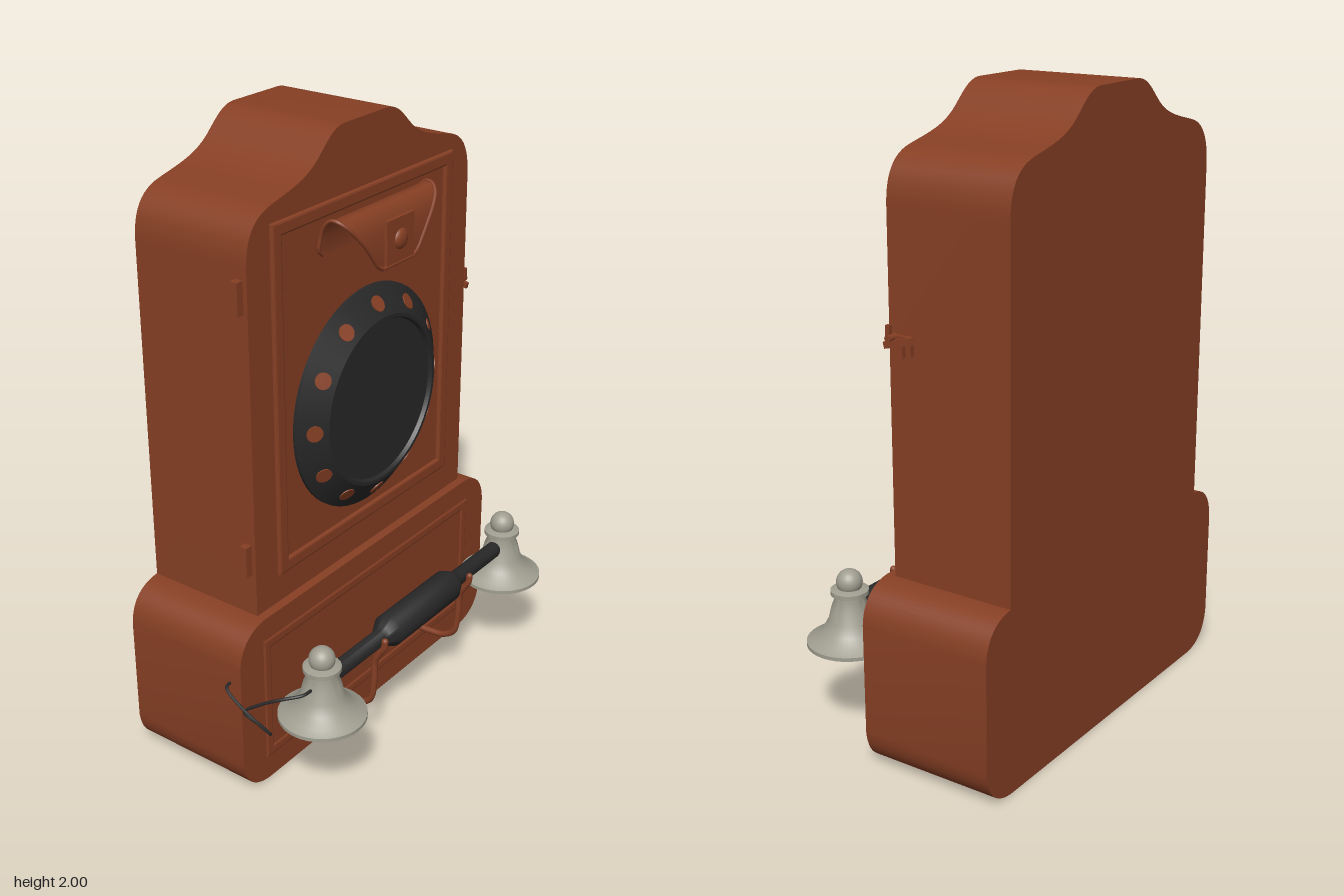
import * as THREE from 'three';
import { toCreasedNormals } from 'three/addons/utils/BufferGeometryUtils.js';

const CX = 0.015; // the cabinet's own centre line

export function createModel() {
  const root = new THREE.Group();
  root.name = 'wallTelephone';

  const material = (name, color, side = THREE.FrontSide) => {
    const m = new THREE.MeshStandardMaterial({ color, side });
    m.name = name;
    return m;
  };
  const wood = material('reddish brown', 0x863f24, THREE.DoubleSide);
  const black = material('black', 0x282828);
  const metal = material('warm grey', 0xa09e90, THREE.DoubleSide);

  const add = (name, geometry, mat, x = 0, y = 0, z = 0, parent = root) => {
    const mesh = new THREE.Mesh(geometry, mat);
    mesh.name = name;
    mesh.position.set(x, y, z);
    parent.add(mesh);
    return mesh;
  };
  const v = (x, y, z) => new THREE.Vector3(x, y, z);
  const lathe = (pts, segments = 40) => toCreasedNormals(
    new THREE.LatheGeometry(pts.map(([r, y]) => new THREE.Vector2(r, y)), segments), 0.6);
  const tube = (pts, r, segments = 40) =>
    new THREE.TubeGeometry(new THREE.CatmullRomCurve3(pts), segments, r, 8);
  const extrude = (shape, depth) => toCreasedNormals(
    new THREE.ExtrudeGeometry(shape, { depth, bevelEnabled: false, curveSegments: 12 }), 0.6);

  // Lower box with rounded corners
  const base = new THREE.Shape();
  const bw = 0.665, bh = 0.59, r = 0.12;
  base.moveTo(-bw + r, 0).lineTo(bw - r, 0);
  base.quadraticCurveTo(bw - 0.01, 0.01, bw, r).lineTo(bw, bh - r);
  base.quadraticCurveTo(bw - 0.01, bh - 0.01, bw - r, bh).lineTo(-bw + r, bh);
  base.quadraticCurveTo(-bw + 0.01, bh - 0.01, -bw, bh - r).lineTo(-bw, r);
  base.quadraticCurveTo(-bw + 0.01, 0.01, -bw + r, 0);
  add('baseBox', extrude(base, 0.44), wood, CX, 0, -0.38);

  // Upper cabinet with a scrolled crest
  const cab = new THREE.Shape();
  cab.moveTo(-0.545, 0.5).lineTo(0.545, 0.5).lineTo(0.545, 1.69);
  cab.bezierCurveTo(0.545, 1.78, 0.51, 1.83, 0.435, 1.847);
  cab.bezierCurveTo(0.36, 1.865, 0.29, 1.875, 0.235, 1.918);
  cab.bezierCurveTo(0.19, 1.955, 0.16, 2.0, 0.10, 2.0);
  cab.lineTo(-0.10, 2.0);
  cab.bezierCurveTo(-0.16, 2.0, -0.19, 1.955, -0.235, 1.918);
  cab.bezierCurveTo(-0.29, 1.875, -0.36, 1.865, -0.435, 1.847);
  cab.bezierCurveTo(-0.51, 1.83, -0.545, 1.78, -0.545, 1.69);
  add('cabinet', extrude(cab, 0.41), wood, CX, 0, -0.38);

  // Raised rectangular mouldings
  const moulding = (name, w, h, t, y, z, depth) => {
    const b = 0.007;
    const rect = (Path, hw, hh) => new Path([[-hw, -hh], [hw, -hh], [hw, hh], [-hw, hh]]
      .map(([px, py]) => new THREE.Vector2(px, py)));
    const s = rect(THREE.Shape, w / 2 - b, h / 2 - b);
    s.holes.push(rect(THREE.Path, w / 2 - t + b, h / 2 - t + b));
    add(name, new THREE.ExtrudeGeometry(s, {
      depth, bevelSize: b, bevelThickness: b, bevelSegments: 2,
    }), wood, CX, y, z);
  };
  moulding('doorMoulding', 0.89, 1.11, 0.043, 1.24, 0.025, 0.01);
  moulding('baseMoulding', 1.115, 0.435, 0.035, 0.298, 0.053, 0.004);

  // Round dial with a sloping rim and a ring of finger holes
  const dial = new THREE.Group();
  dial.name = 'dial';
  dial.position.set(CX, 1.12, 0);
  root.add(dial);
  add('dialDisc', lathe([[0.36, 0.025], [0.36, 0.04], [0.275, 0.1], [0.264, 0.1],
    [0.258, 0.088], [0, 0.088]], 64).rotateX(Math.PI / 2), black, 0, 0, 0, dial);
  for (let i = 0; i < 12; i++) {
    const a = i * Math.PI / 6;
    const size = i === 1 ? 0.018 : 0.026;
    const hole = add('fingerHole', new THREE.CylinderGeometry(size, size, 0.006, 20), wood,
      0.312 * Math.cos(a), 0.312 * Math.sin(a), 0.074, dial);
    hole.quaternion.setFromUnitVectors(v(0, 1, 0),
      v(0.06 * Math.cos(a), 0.06 * Math.sin(a), 0.085).normalize());
  }

  // Curled sheet above the dial: rows of y, z and half width along the bend
  const rows = [[1.64, 0.035, 0.215], [1.66, 0.036, 0.235], [1.70, 0.042, 0.235],
    [1.735, 0.055, 0.235], [1.757, 0.08, 0.235], [1.755, 0.105, 0.232], [1.735, 0.128, 0.215],
    [1.70, 0.14, 0.185], [1.66, 0.145, 0.15], [1.62, 0.146, 0.12], [1.595, 0.146, 0.1],
    [1.58, 0.146, 0.075]];
  const sheet = new THREE.PlaneGeometry(1, 1, 10, rows.length - 1);
  const pos = sheet.attributes.position;
  for (let i = 0; i < pos.count; i++) {
    const [y, z, half] = rows[Math.floor(i / 11)];
    pos.setXYZ(i, pos.getX(i) * 2 * half, y, z);
  }
  sheet.computeVertexNormals();
  add('curledSheet', sheet, wood, CX);
  // Rolled rim down both edges of the sheet
  for (const s of [-1, 1]) {
    add('sheetRim', tube(rows.map(([y, z, half]) => v(CX + s * half, y, z)), 0.006), wood);
  }
  add('sheetLowerRim', new THREE.CylinderGeometry(0.006, 0.006, 0.15, 8).rotateZ(Math.PI / 2),
    wood, CX, 1.58, 0.146);
  add('knobPlate', new THREE.BoxGeometry(0.135, 0.135, 0.012), wood, CX, 1.655, 0.149);
  add('knob', new THREE.SphereGeometry(0.032, 20, 12).scale(1, 1, 0.5), wood, CX, 1.655, 0.153);

  // Door hinges
  for (const y of [0.78, 1.61]) {
    add('hinge', new THREE.BoxGeometry(0.03, 0.1, 0.026), wood, -0.54, y, 0.003);
  }

  // Door latch with a small turn key
  add('latchPlate', new THREE.BoxGeometry(0.016, 0.035, 0.07), wood, 0.566, 1.315, -0.02);
  add('latchPin', new THREE.CylinderGeometry(0.011, 0.011, 0.04, 12).rotateZ(Math.PI / 2),
    wood, 0.575, 1.325, 0.01);
  const key = add('latchKey', new THREE.BoxGeometry(0.012, 0.02, 0.1), wood, 0.584, 1.315, -0.02);
  key.rotation.x = 0.25;
  for (const [y, z] of [[1.345, 0.015], [1.29, -0.03], [1.30, -0.06]]) {
    add('latchTooth', new THREE.BoxGeometry(0.014, 0.035, 0.014), wood, 0.582, y, z);
  }

  // Cradle hooks under the handset
  for (const x of [-0.225, 0.255]) {
    add('cradleHook', tube([v(x, 0.16, 0.03), v(x, 0.16, 0.13), v(x, 0.168, 0.19),
      v(x, 0.2, 0.23), v(x, 0.27, 0.243), v(x, 0.35, 0.247), v(x, 0.385, 0.265),
      v(x, 0.41, 0.281), v(x, 0.435, 0.284)], 0.011), wood);
    add('hookTip', new THREE.SphereGeometry(0.011, 10, 8), wood, x, 0.435, 0.284);
  }

  // Handset bar with a thick grip
  add('handsetBar', lathe([[0, -0.49], [0.027, -0.49], [0.027, -0.215], [0.036, -0.2],
    [0.054, -0.165], [0.054, 0.165], [0.036, 0.2], [0.027, 0.215], [0.027, 0.49], [0, 0.49]],
  32).rotateZ(-Math.PI / 2), black, CX, 0.42, 0.243);

  // Flared ear and mouth pieces, hollow underneath
  const bell = lathe([[0, 0.42], [0.04, 0.40], [0.06, 0.35], [0.125, 0.30], [0.137, 0.30],
    [0.137, 0.312], [0.112, 0.325], [0.085, 0.35], [0.068, 0.38], [0.058, 0.42], [0.046, 0.452],
    [0.046, 0.458], [0.059, 0.464], [0.059, 0.478], [0.04, 0.484], [0, 0.484]]);
  for (const x of [-0.49, 0.52]) {
    add('flaredCup', bell, metal, x, 0, 0.243);
    add('cupBall', new THREE.SphereGeometry(0.041, 24, 16), metal, x, 0.502, 0.243);
  }

  // Looped cord from the handset to the side of the box
  add('cord', tube([v(-0.53, 0.42, 0.245), v(-0.58, 0.42, 0.24), v(-0.615, 0.41, 0.2),
    v(-0.64, 0.375, 0.13), v(-0.655, 0.33, 0.075), v(-0.645, 0.3, 0.13), v(-0.65, 0.29, 0.17),
    v(-0.672, 0.33, 0.14), v(-0.682, 0.38, 0.07), v(-0.675, 0.41, 0.025), v(-0.64, 0.41, 0.015)],
  0.005, 90), black);

  return root;
}
